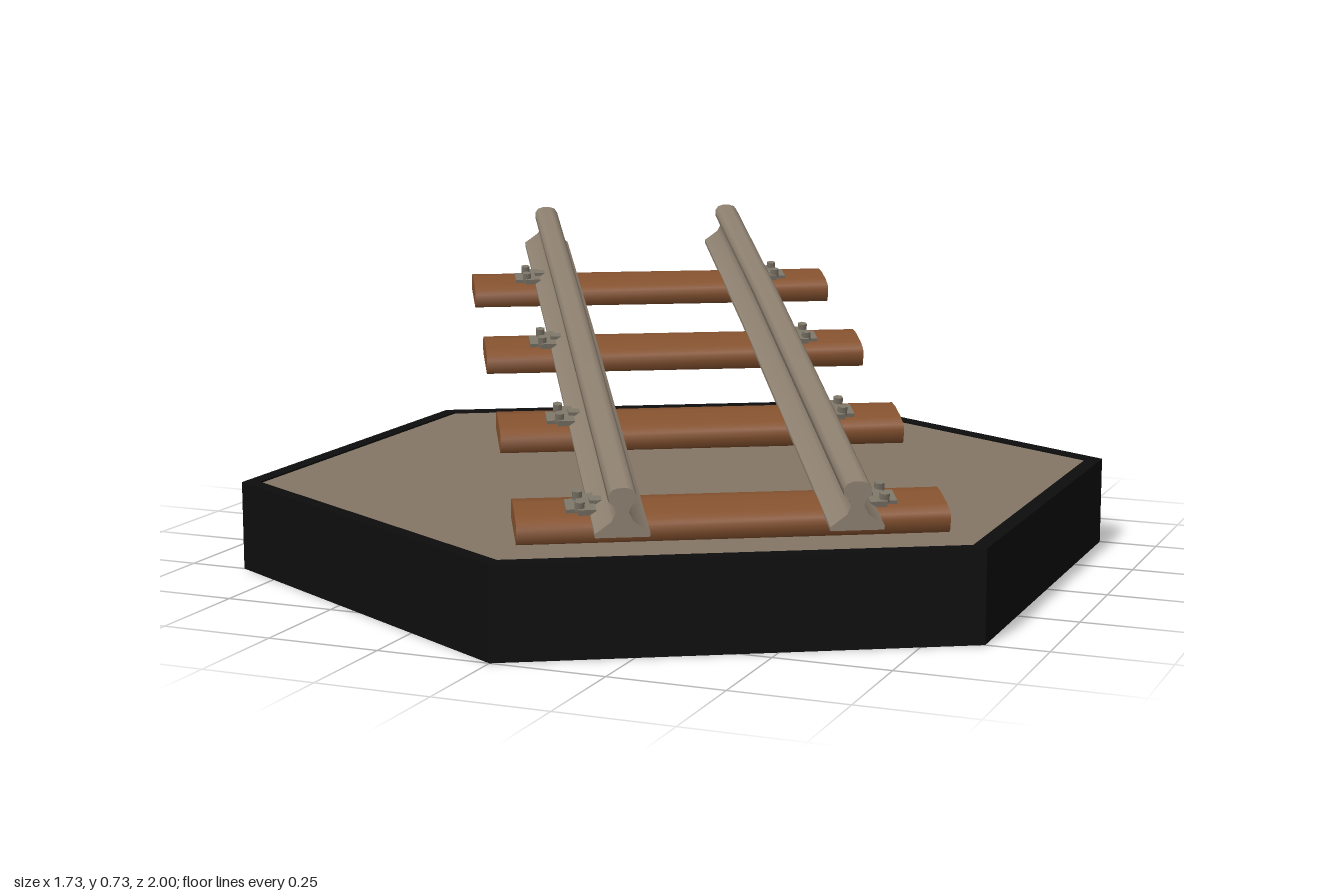
import * as THREE from 'three';
import { toCreasedNormals } from 'three/addons/utils/BufferGeometryUtils.js';

const paint = (name, color, side = THREE.FrontSide) => {
  const m = new THREE.MeshStandardMaterial({ color, side });
  m.name = name;
  return m;
};

// Sweeps a counter-clockwise [x, y] profile along [y, z] stations (z rising), with end caps.
function sweep(profile, path, crease) {
  const n = profile.length, pos = [], idx = [];
  for (const [y, z] of path) for (const [px, py] of profile) pos.push(px, y + py, z);
  for (let i = 0; i < path.length - 1; i++) {
    for (let j = 0; j < n; j++) {
      const a = i * n + j, b = i * n + (j + 1) % n;
      idx.push(a, b, a + n, b, b + n, a + n);
    }
  }
  const last = (path.length - 1) * n;
  const flat = profile.map(([x, y]) => new THREE.Vector2(x, y));
  for (const [a, b, c] of THREE.ShapeUtils.triangulateShape(flat, [])) {
    idx.push(last + a, last + b, last + c, a, c, b);
  }
  const g = new THREE.BufferGeometry();
  g.setAttribute('position', new THREE.Float32BufferAttribute(pos, 3));
  g.setIndex(idx);
  return toCreasedNormals(g, crease);
}

// Mirrors the right half of a profile (listed bottom to top).
const mirrored = half => [...half, ...half.slice().reverse().map(([x, y]) => [-x, y])];

function hexagon(Type, radius) {
  const pts = [];
  for (let i = 0; i < 6; i++) {
    const a = Math.PI / 2 + i * Math.PI / 3;
    pts.push(new THREE.Vector2(radius * Math.cos(a), radius * Math.sin(a)));
  }
  return new Type(pts);
}

export function createModel() {
  const black = paint('black rim', 0x0d0d0d);
  const ground = paint('ground brown', 0x837665, THREE.DoubleSide);
  const steel = paint('rail steel', 0x8c7f6f);
  const wood = paint('sleeper wood', 0x85522f);
  const iron = paint('clip iron', 0x7c7568);

  const model = new THREE.Group();
  const add = (parent, name, geometry, material, x = 0, y = 0, z = 0) => {
    const m = new THREE.Mesh(geometry, material);
    m.name = name;
    m.position.set(x, y, z);
    parent.add(m);
    return m;
  };

  // Hexagonal base: a hollow rim with a thin floor near its top
  const rim = hexagon(THREE.Shape, 1);
  rim.holes.push(hexagon(THREE.Path, 0.96));
  add(model, 'baseRim', new THREE.ExtrudeGeometry(rim, { depth: 0.2, bevelEnabled: false })
    .rotateX(-Math.PI / 2), black);
  add(model, 'baseFloor', new THREE.ShapeGeometry(hexagon(THREE.Shape, 0.962))
    .rotateX(-Math.PI / 2), ground, 0, 0.196);

  // Rising track, running between two opposite sides of the hexagon
  const track = new THREE.Group();
  track.name = 'track';
  track.rotation.y = Math.PI / 6;
  model.add(track);

  const path = [[0.627, -0.865], [0.5, -0.25], [0.245, 0.865]];
  const spanAt = z => (z < path[1][1] ? 0 : 1);
  const slopeAt = z => {
    const [a, b] = [path[spanAt(z)], path[spanAt(z) + 1]];
    return (b[0] - a[0]) / (b[1] - a[1]);
  };
  const heightAt = z => path[1][0] + slopeAt(z) * (z - path[1][1]);

  // Rails with a flared foot, narrow web and rounded head
  const railGeometry = sweep(mirrored([
    [0.055, 0], [0.055, 0.008], [0.022, 0.032], [0.013, 0.05], [0.017, 0.062],
    [0.028, 0.072], [0.028, 0.085], [0.021, 0.095], [0.009, 0.099],
  ]), path, 0.9);
  for (const side of [-1, 1]) {
    add(track, side < 0 ? 'rightRail' : 'leftRail', railGeometry, steel, side * 0.235);
  }

  // Slightly arched sleepers, pitched with the rails
  const sleeperGeometry = sweep(mirrored([
    [0.065, -0.042], [0.071, -0.036], [0.071, -0.008], [0.062, 0.001], [0.03, 0.006],
  ]), [[0, -0.44], [0, 0.44]], 0.9).rotateY(Math.PI / 2);

  const boltGeometry = new THREE.CylinderGeometry(0.011, 0.011, 0.02, 6);
  for (const z of [0.737, 0.297, -0.143, -0.583]) {
    const tie = new THREE.Group();
    tie.name = 'sleeperAssembly';
    tie.position.set(0, heightAt(z), z);
    tie.rotation.x = -Math.atan(slopeAt(z));
    track.add(tie);
    add(tie, 'sleeper', sleeperGeometry, wood);

    // Clips hold each rail from its outer side
    for (const side of [-1, 1]) {
      const clip = new THREE.Group();
      clip.name = 'railClip';
      clip.position.set(side * 0.302, 0.006, 0);
      tie.add(clip);
      add(clip, 'clipPlate', new THREE.BoxGeometry(0.07, 0.01, 0.052), iron, 0, 0.003);
      add(clip, 'clipBar', new THREE.BoxGeometry(0.036, 0.012, 0.082), iron, side * -0.006, 0.007);
      add(clip, 'clipTongue', new THREE.BoxGeometry(0.04, 0.012, 0.022), iron, side * -0.033, 0.014);
      for (const end of [-1, 1]) {
        add(clip, 'clipBolt', boltGeometry, iron, side * 0.008, 0.016, end * 0.026);
      }
    }
  }
  return model;
}
